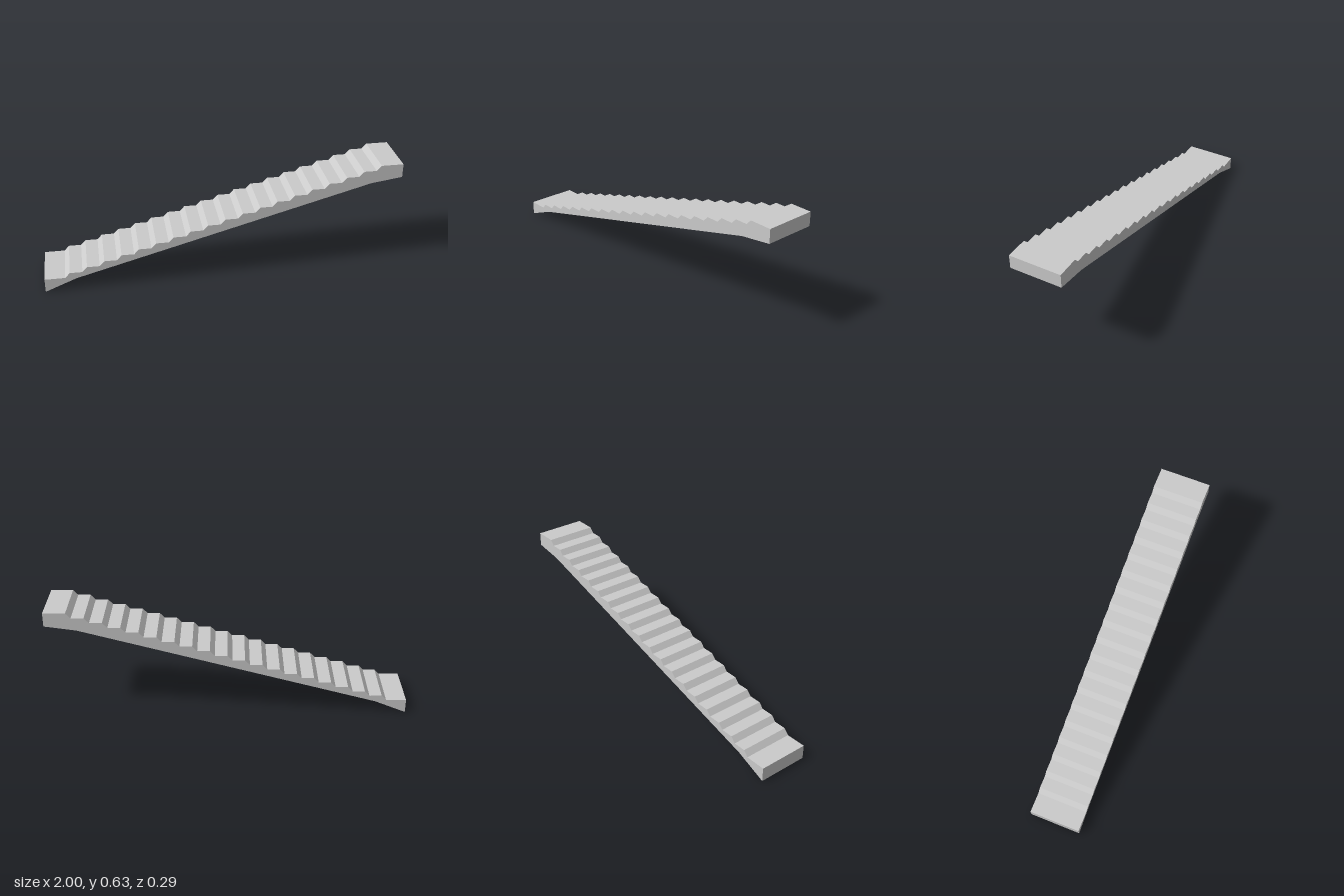
import * as THREE from 'three';
import { toCreasedNormals } from 'three/addons/utils/BufferGeometryUtils.js';

const RISERS = 19;
const PITCH = 0.0965;  // tread spacing along x
const FIRST = -0.887;  // foot of the first riser
const LEAN = 0.027;    // how far each riser slopes back
const LOW = 0.08;      // lower landing height
const HIGH = 0.63;     // upper landing height
const WIDTH = 0.29;

export function createModel() {
  const group = new THREE.Group();
  group.name = 'staircase';

  // Side profile: gently bent underside, then the steps from top to bottom
  const profile = new THREE.Shape();
  profile.moveTo(-1, 0);
  profile.lineTo(-0.825, 0.072);
  profile.lineTo(0.825, 0.527);
  profile.lineTo(1, 0.552);
  profile.lineTo(1, HIGH);
  const rise = (HIGH - LOW) / RISERS;
  for (let i = RISERS - 1; i >= 0; i--) {
    const x = FIRST + i * PITCH;
    profile.lineTo(x + LEAN, LOW + (i + 1) * rise);
    profile.lineTo(x, LOW + i * rise);
  }
  profile.lineTo(-1, LOW);
  profile.closePath();

  // Extrude across the width; only the shallow underside bends stay smooth
  const solid = new THREE.ExtrudeGeometry(profile, { depth: WIDTH, bevelEnabled: false });
  solid.translate(0, 0, -WIDTH / 2);
  const flight = new THREE.Mesh(
    toCreasedNormals(solid, 0.4),
    new THREE.MeshStandardMaterial({ color: 0xcccccc })
  );
  flight.name = 'stairFlight';
  group.add(flight);
  return group;
}
